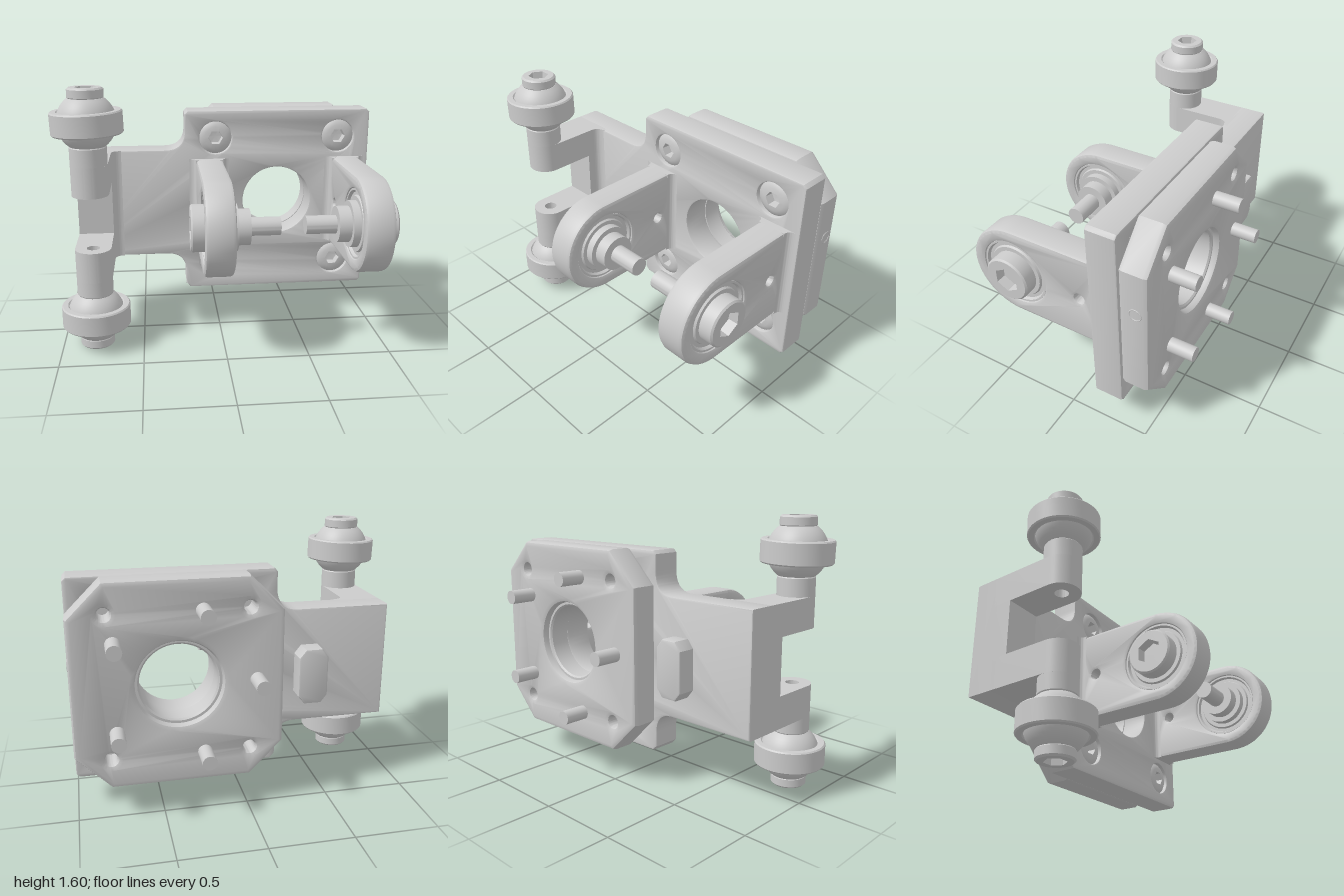
import * as THREE from 'three';
import { toCreasedNormals } from 'three/addons/utils/BufferGeometryUtils.js';

const CX = 0.395, CY = 0.81; // centre of the square plates

export function createModel() {
  const model = new THREE.Group();
  const material = new THREE.MeshStandardMaterial({ color: 0xcccccc });

  function add(name, geometry, parent = model) {
    const mesh = new THREE.Mesh(toCreasedNormals(geometry, 0.6), material);
    mesh.name = name;
    parent.add(mesh);
    return mesh;
  }

  function group(name, x, y, z, flip) {
    const g = new THREE.Group();
    g.name = name;
    g.position.set(x, y, z);
    if (flip) g.rotation.z = Math.PI;
    model.add(g);
    return g;
  }

  // Extrusion from z0 to z1 with chamfered edges that stay inside the outline
  function slab(shape, z0, z1, bevel = 0) {
    return new THREE.ExtrudeGeometry(shape, {
      depth: z1 - z0 - 2 * bevel, bevelEnabled: bevel > 0, bevelThickness: bevel,
      bevelSize: bevel, bevelOffset: -bevel, bevelSegments: 2, curveSegments: 24,
    }).translate(0, 0, z0 + bevel);
  }

  // Extrusion of an (x, z) outline from y0 to y1
  const column = (shape, y0, y1) =>
    slab(shape, 0, y1 - y0).rotateX(Math.PI / 2).translate(0, y1, 0);

  const circle = (x, y, r) => new THREE.Path().absarc(x, y, r, 0, Math.PI * 2, false);
  const polygon = (pts) => new THREE.Shape(pts.map(([x, y]) => new THREE.Vector2(x, y)));

  // Turned part; points picked by isSocket are squeezed from round to hexagonal
  function turned(profile, isSocket = () => false) {
    const geo = new THREE.LatheGeometry(profile.map(([r, y]) => new THREE.Vector2(r, y)), 48);
    const p = geo.attributes.position;
    for (let i = 0; i < p.count; i++) {
      const x = p.getX(i), z = p.getZ(i), r = Math.hypot(x, z);
      if (!isSocket(r, p.getY(i))) continue;
      const a = Math.atan2(z, x) + Math.PI * 2 + 1e-6;
      const k = Math.cos(Math.PI / 6) / Math.cos((a % (Math.PI / 3)) - Math.PI / 6);
      p.setXYZ(i, x * k, p.getY(i), z * k);
    }
    return geo;
  }

  const corners = [];
  for (const x of [-0.01, 0.795]) for (const y of [0.385, 1.235]) corners.push([x, y]);

  // Front plate with the side arm running out to the right
  const plate = new THREE.Shape();
  plate.moveTo(-0.18, 0.205);
  plate.lineTo(0.98, 0.205);
  plate.lineTo(1, 0.225);
  plate.lineTo(1, 1.39);
  plate.lineTo(0.98, 1.41);
  plate.lineTo(-0.19, 1.41);
  plate.lineTo(-0.21, 1.39);
  plate.lineTo(-0.21, 1.29);
  plate.quadraticCurveTo(-0.21, 1.16, -0.34, 1.16);
  plate.lineTo(-0.9, 1.16);
  plate.lineTo(-0.9, 0.45);
  plate.lineTo(-0.34, 0.45);
  plate.quadraticCurveTo(-0.21, 0.45, -0.21, 0.32);
  plate.lineTo(-0.21, 0.235);
  plate.holes.push(circle(CX, CY, 0.225), ...corners.map(([x, y]) => circle(x, y, 0.105)));
  add('frontPlate', slab(plate, -0.35, -0.17, 0.012));

  // Back plate with cut corners
  const h = 0.605, c = 0.405;
  const back = polygon([[c, -h], [h, -c], [h, c], [c, h], [-c, h], [-h, c], [-h, -c], [-c, -h]]
    .map(([x, y]) => [x + CX, y + CY]));
  back.holes.push(circle(CX, CY, 0.25), ...corners.map(([x, y]) => circle(x, y, 0.035)));
  add('backPlate', slab(back, -0.525, -0.35, 0.03));
  add('boreLip', turned([[0.225, -0.35], [0.225, -0.47], [0.235, -0.48], [0.252, -0.48],
    [0.252, -0.35], [0.225, -0.35]]).rotateX(Math.PI / 2).translate(CX, CY, 0));
  add('sideHoleRim', new THREE.TorusGeometry(0.035, 0.004, 8, 24).rotateY(Math.PI / 2)
    .translate(0.999, 0.95, -0.45));

  // Countersunk plate screws
  for (const [x, y] of corners) {
    add('plateScrew', turned([[0, -0.345], [0.105, -0.345], [0.108, -0.2], [0.095, -0.188],
      [0.07, -0.178], [0.048, -0.175], [0.045, -0.23], [0, -0.235]], (r, z) => r < 0.05 && z > -0.24)
      .rotateX(Math.PI / 2).translate(x, y, 0));
  }

  // Five dowel pins spaced around the bore
  for (let i = 0; i < 5; i++) {
    const a = Math.PI + i * Math.PI * 0.4;
    add('dowelPin', new THREE.CylinderGeometry(0.043, 0.043, 0.18, 24).rotateX(Math.PI / 2)
      .translate(CX + 0.445 * Math.cos(a), CY + 0.445 * Math.sin(a), -0.59));
  }

  // Stop block on the back of the arm
  const stop = polygon([[-0.46, 0.6], [-0.36, 0.6], [-0.32, 0.65], [-0.32, 0.89],
    [-0.36, 0.94], [-0.46, 0.94], [-0.5, 0.89], [-0.5, 0.65]]);
  add('stopBlock', slab(stop, -0.46, -0.34, 0.012));

  // Forked end of the arm: a solid root and two rounded lugs
  function legOutline(rounded) {
    const s = new THREE.Shape();
    s.moveTo(-0.9, -0.2);
    s.lineTo(-0.62, -0.2);
    s.lineTo(-0.62, -0.17);
    s.quadraticCurveTo(-0.68, -0.17, -0.68, -0.11);
    if (rounded) {
      s.lineTo(-0.68, 0.2);
      s.absarc(-0.79, 0.2, 0.11, 0, Math.PI, false);
      s.holes.push(circle(-0.79, 0.2, 0.04));
    } else {
      s.lineTo(-0.68, -0.08);
      s.lineTo(-0.9, -0.08);
    }
    return s;
  }
  add('forkRoot', column(legOutline(false), 0.64, 0.975));
  add('lowerLug', column(legOutline(true), 0.45, 0.64));
  add('upperLug', column(legOutline(true), 0.975, 1.16));

  // Ball joints on the lugs: post, ball, cap and loose outer ring
  const ball = [];
  for (let i = 0; i <= 16; i++) {
    const a = -0.927 + (i / 16) * 1.854;
    ball.push([0.175 * Math.cos(a), 0.175 * Math.sin(a)]);
  }
  for (const upper of [true, false]) {
    const joint = group(upper ? 'upperBallJoint' : 'lowerBallJoint', -0.79, upper ? 1.41 : 0.21, 0.2, !upper);
    add('post', turned([[0, -0.25], [0.11, -0.25], [0.11, -0.145], [0.105, -0.138], [0, -0.138]]), joint);
    add('ball', turned([[0, -0.14], ...ball, [0, 0.14]]), joint);
    add('cap', turned([[0, 0.135], [0.098, 0.135], [0.105, 0.145], [0.105, 0.19], [0.095, 0.2],
      [0.062, 0.2], [0.058, 0.15], [0, 0.145]], (r, y) => r < 0.07 && y > 0.14), joint);
    const ring = add('outerRing', turned([[0.164, -0.06], [0.172, -0.068], [0.203, -0.068], [0.21, -0.06],
      [0.21, 0.06], [0.203, 0.068], [0.172, 0.068], [0.164, 0.06], [0.164, -0.06]]), joint);
    ring.rotation.z = upper ? 0.03 : 0;
  }

  // Facing ears with bearings and pivot pins
  const ear = new THREE.Shape();
  ear.moveTo(-0.2, -0.288);
  ear.lineTo(0.39, -0.288);
  ear.absarc(0.39, 0, 0.288, -Math.PI / 2, Math.PI / 2, false);
  ear.lineTo(-0.2, 0.288);
  ear.holes.push(circle(0.39, 0, 0.21), circle(-0.05, 0, 0.03));

  const foot = new THREE.Shape();
  foot.moveTo(-0.13, -0.18);
  foot.lineTo(0.13, -0.18);
  foot.lineTo(0.13, -0.17);
  foot.quadraticCurveTo(0.0875, -0.17, 0.0875, -0.125);
  foot.lineTo(-0.0875, -0.125);
  foot.quadraticCurveTo(-0.0875, -0.17, -0.13, -0.17);

  const pin = [[0, -0.1], [0.075, -0.1], [0.08, -0.1575], [0.13, -0.1575], [0.14, -0.148],
    [0.14, -0.07], [0.165, -0.07], [0.172, -0.058], [0.192, -0.058], [0.2, -0.075], [0.212, -0.075],
    [0.212, 0.075], [0.2, 0.075], [0.192, 0.058], [0.172, 0.058], [0.165, 0.07], [0.14, 0.07],
    [0.14, 0.115], [0.108, 0.115], [0.108, 0.19], [0.055, 0.19], [0.055, 0.3725], [0, 0.3725]];

  for (const side of [-1, 1]) {
    const g = group(side < 0 ? 'rightEar' : 'leftEar', CX + side * 0.4475, CY, 0, side > 0);
    add('ear', slab(ear, -0.0875, 0.0875, 0.022).rotateY(-Math.PI / 2), g);
    add('earFoot', column(foot, -0.288, 0.288), g);
    add('bearingAndPin', turned(pin, (r, y) => r < 0.09 && y < -0.09)
      .rotateZ(-Math.PI / 2).translate(0, 0, 0.39), g);
  }

  return model;
}
